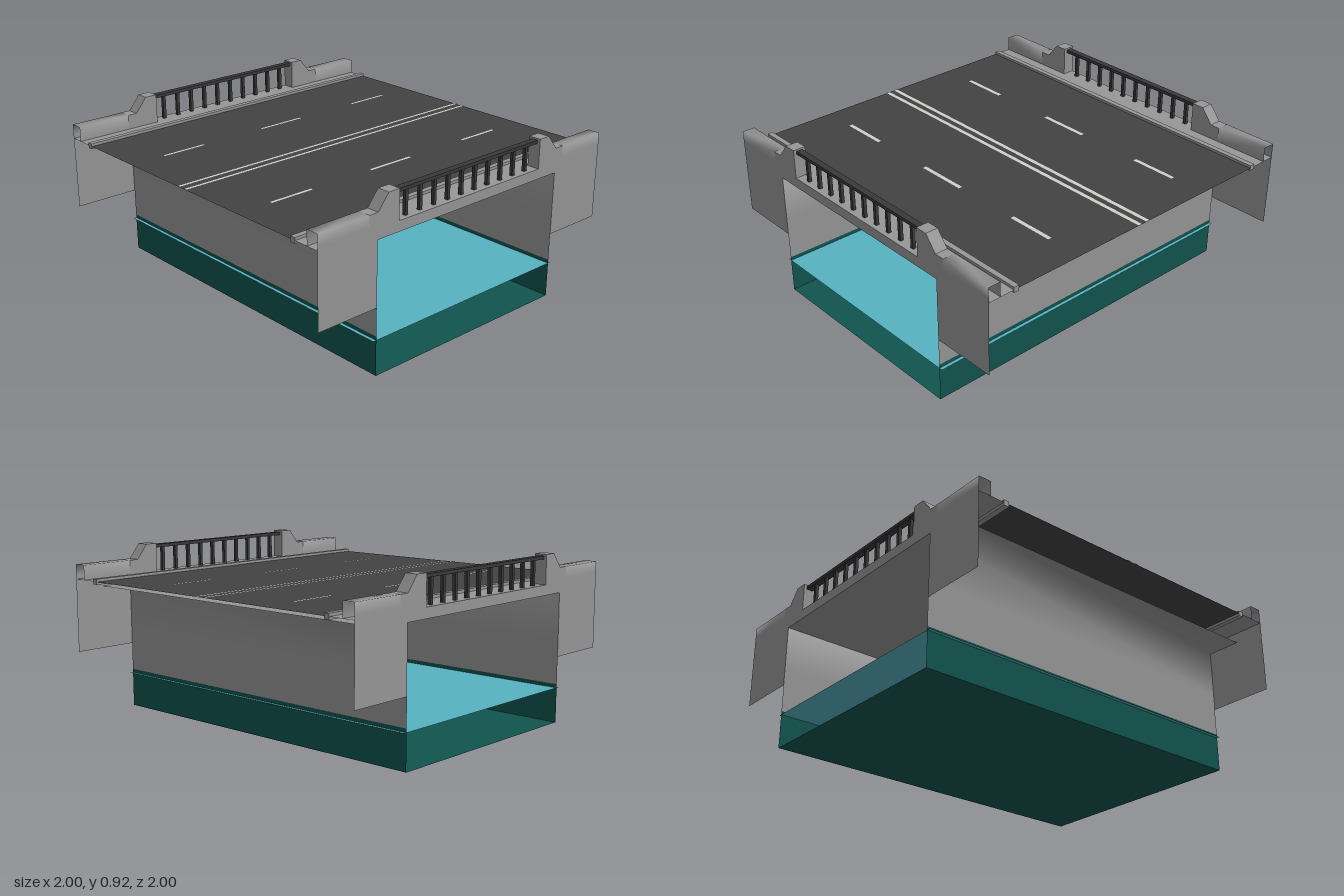
import * as THREE from 'three';

const mat = (name, color) => {
  const m = new THREE.MeshStandardMaterial({ color, side: THREE.DoubleSide });
  m.name = name;
  return m;
};

export function createModel() {
  const model = new THREE.Group();
  model.name = 'roadBridge';
  const concrete = mat('concrete', 0x979797);
  const asphalt = mat('asphalt', 0x434343);
  const paint = mat('roadPaint', 0xcfcfcb);
  const metal = mat('darkMetal', 0x3b3839);
  const bed = mat('riverBed', 0x11544f);
  const waterBlue = mat('water', 0x57b2c1);

  const add = (name, geometry, material) => {
    const mesh = new THREE.Mesh(geometry, material);
    mesh.name = name;
    model.add(mesh);
    return mesh;
  };
  const box = (name, material, x0, x1, y0, y1, z0, z1) =>
    add(name, new THREE.BoxGeometry(Math.abs(x1 - x0), y1 - y0, Math.abs(z1 - z0)), material)
      .position.set((x0 + x1) / 2, (y0 + y1) / 2, (z0 + z1) / 2);
  // Flat horizontal sheet
  const sheet = (name, material, x0, x1, z0, z1, y) => {
    const g = new THREE.PlaneGeometry(Math.abs(x1 - x0), Math.abs(z1 - z0)).rotateX(-Math.PI / 2);
    add(name, g, material).position.set((x0 + x1) / 2, y, (z0 + z1) / 2);
  };
  // Open smooth strip: a profile swept between two end positions
  const strip = (name, material, profile, toPoint, a, b) => {
    const pos = [], index = [];
    profile.forEach(([u, y], i) => {
      pos.push(...toPoint(u, y, a), ...toPoint(u, y, b));
      if (i) {
        const k = i * 2;
        index.push(k - 2, k - 1, k, k - 1, k + 1, k);
      }
    });
    const g = new THREE.BufferGeometry();
    g.setAttribute('position', new THREE.Float32BufferAttribute(pos, 3));
    g.setIndex(index);
    g.computeVertexNormals();
    add(name, g, material);
  };
  const alongX = (z, y, x) => [x, y, z];
  const alongZ = (x, y, z) => [x, y, z];
  const shapeOf = (pts) => new THREE.Shape(pts.map(([z, y]) => new THREE.Vector2(z, y)));

  // River channel and water
  const span = 0.636, deckY = 0.76, ceilY = 0.705;
  sheet('riverFloor', bed, -1, 1, -span, span, 0);
  sheet('waterSurface', waterBlue, -1, 1, -0.655, 0.655, 0.19);
  sheet('bridgeCeiling', concrete, -1, 1, -span, span, ceilY);
  for (const e of [1, -1]) {
    strip('riverBank', bed, [[e * span, 0], [e * span, 0.21]], alongX, -e, e);
    // Abutment wall blending into the ledge below the road
    strip('abutmentWall', concrete,
      [[e * span, 0.21], [e * span, 0.45], [e * span, ceilY], [e * 0.83, ceilY]], alongX, -e, e);
  }

  // Road with markings
  sheet('road', asphalt, -0.82, 0.82, -1, 1, deckY);
  for (const s of [1, -1]) {
    sheet('centreLine', paint, s * 0.016, s * 0.038, -1, 1, deckY + 0.003);
    for (const [z0, z1] of [[-0.8, -0.535], [-0.145, 0.145], [0.535, 0.8]])
      sheet('laneDash', paint, s * 0.427, s * 0.449, z0, z1, deckY + 0.003);
  }

  // Both sides of the bridge
  for (const s of [1, -1]) {
    sheet('sidewalk', concrete, s * 0.82, s, -1, 1, deckY);
    box('curb', concrete, s * 0.82, s * 0.85, 0.745, 0.775, -1, 1);

    // Outer face: two wing walls joined by the deck girder
    const face = new THREE.ShapeGeometry(shapeOf([
      [-1, 0.36], [-span, 0.36], [-span, ceilY], [span, ceilY], [span, 0.36], [1, 0.36],
      [1, 0.78], [0.69, 0.78], [0.69, deckY], [-0.69, deckY], [-0.69, 0.78], [-1, 0.78],
    ])).rotateY(s * Math.PI / 2);
    add('wingWallsAndGirder', face, concrete).position.x = s;

    for (const e of [1, -1]) {
      // Low parapet, open at its ends
      strip('lowParapet', concrete,
        [[s, 0.78], [s, 0.84], [s * 0.93, 0.84], [s * 0.93, deckY]],
        alongZ, e * 0.69, e);
      // Stepped end post
      const post = new THREE.ExtrudeGeometry(shapeOf([
        [e * 0.69, deckY], [e * 0.69, 0.84], [e * span, 0.84], [e * 0.57, 0.92],
        [e * 0.5, 0.92], [e * 0.5, deckY],
      ]), { depth: 0.07, bevelEnabled: false }).rotateY(-Math.PI / 2);
      add('endPost', post, concrete).position.x = s > 0 ? 1 : -0.93;
    }

    // Railing
    box('handrail', metal, s * 0.948, s * 0.984, 0.893, 0.911, -0.5, 0.5);
    for (let i = 0; i < 10; i++) {
      const z = (i - 4.5) * 0.095;
      box('baluster', metal, s * 0.957, s * 0.975, deckY, 0.893, z - 0.009, z + 0.009);
    }
  }
  return model;
}
